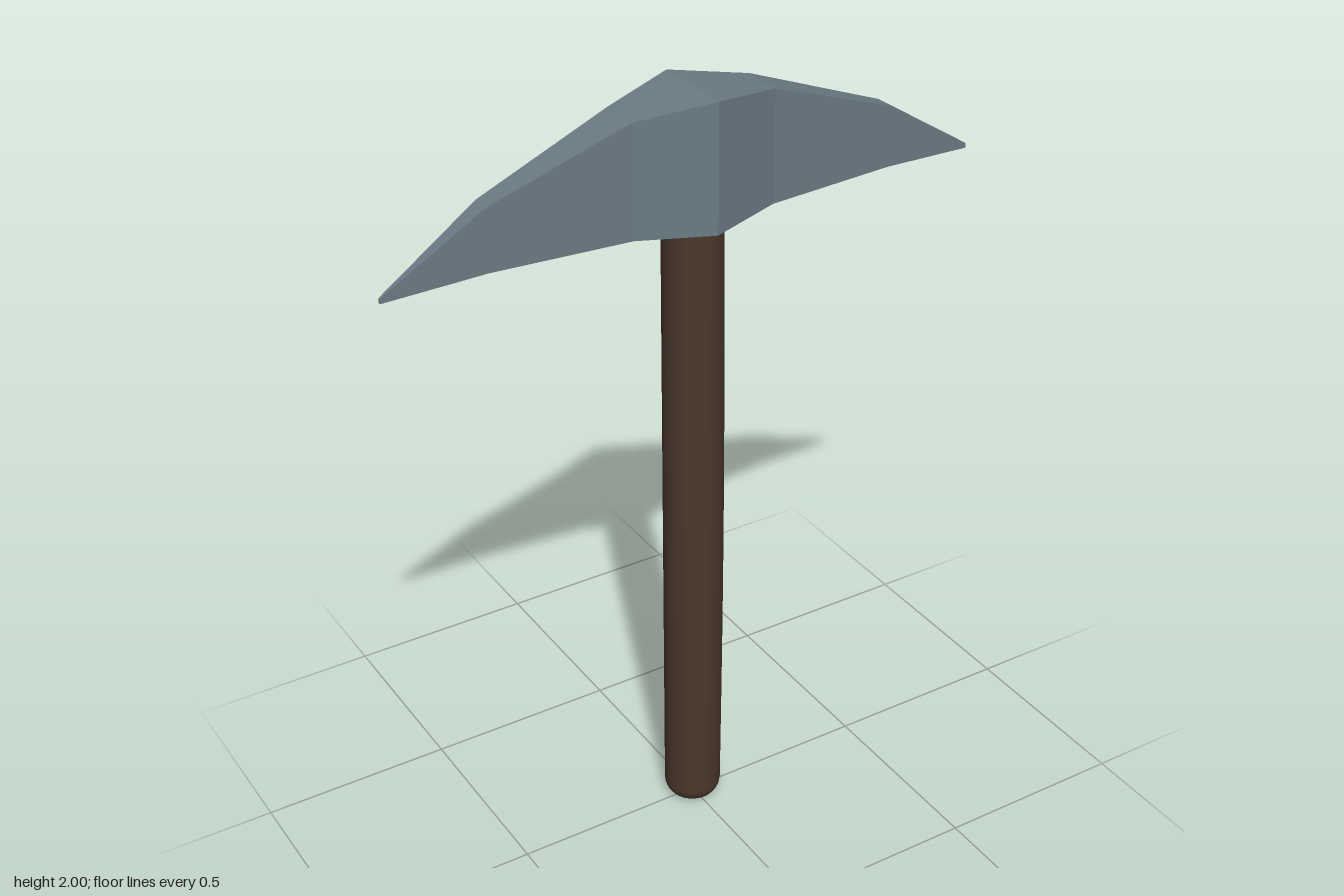
import * as THREE from 'three';

// Head stations from the middle outwards: x, bottom y, top y, half thickness
const STATIONS = [
  [0, 1.68, 2.0, 0.11],
  [0.185, 1.69, 1.972, 0.053],
  [0.53, 1.69, 1.845, 0.024],
  [0.78, 1.674, 1.686, 0.003],
];

// Double-pointed head: a segmented bar reshaped by the stations
function createHead() {
  const geometry = new THREE.BoxGeometry(6, 2, 2, 6, 1, 1);
  const p = geometry.attributes.position;
  for (let i = 0; i < p.count; i++) {
    const step = Math.round(p.getX(i));
    const [x, bottom, top, half] = STATIONS[Math.abs(step)];
    p.setXYZ(i, Math.sign(step) * x, p.getY(i) > 0 ? top : bottom, Math.sign(p.getZ(i)) * half);
  }
  geometry.computeVertexNormals();
  const head = new THREE.Mesh(geometry, new THREE.MeshStandardMaterial({ color: 0x6b7b84, flatShading: true }));
  head.name = 'pickHead';
  return head;
}

// Round wooden handle with a rounded butt and a faint bulge on its +x side
function createHandle() {
  const radius = 0.073, round = 0.045, topY = 1.72;
  const profile = [new THREE.Vector2(0, 0)];
  for (let i = 0; i <= 6; i++) {
    const a = (i / 6) * Math.PI / 2;
    profile.push(new THREE.Vector2(radius - round + round * Math.sin(a), round - round * Math.cos(a)));
  }
  for (let i = 1; i <= 12; i++) {
    profile.push(new THREE.Vector2(radius, round + (topY - round) * i / 12));
  }
  profile.push(new THREE.Vector2(radius, topY), new THREE.Vector2(0, topY));
  const geometry = new THREE.LatheGeometry(profile, 32);
  const p = geometry.attributes.position;
  for (let i = 0; i < p.count; i++) {
    const x = p.getX(i), y = p.getY(i);
    if (y > topY) p.setY(i, topY);
    if (x > 0) p.setX(i, x * (1 + 0.09 * Math.sin(Math.PI * Math.min(y / topY, 1))));
  }
  const handle = new THREE.Mesh(geometry, new THREE.MeshStandardMaterial({ color: 0x4b382c }));
  handle.name = 'handle';
  return handle;
}

export function createModel() {
  const model = new THREE.Group();
  model.name = 'pickaxe';
  model.add(createHead(), createHandle());
  return model;
}
